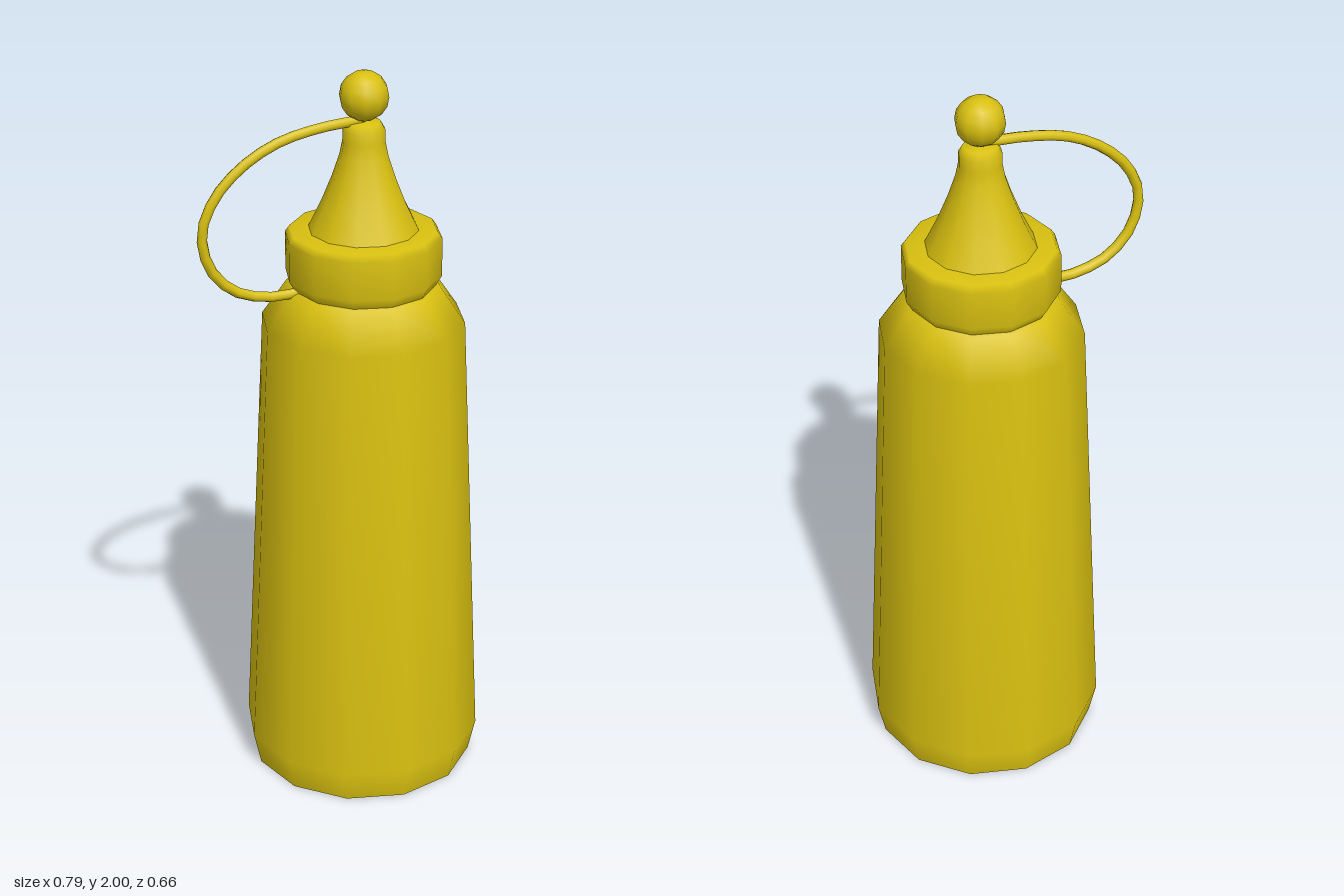
import * as THREE from 'three';

const SIDES = 12;
const AXIS_X = 0.065; // bottle axis is offset to leave room for the strap

export function createModel() {
  const model = new THREE.Group();
  model.name = 'squeezeBottle';
  const yellow = new THREE.MeshStandardMaterial({ color: 0xd8c010 });
  yellow.name = 'mustard yellow';

  const add = (name, geometry, x = AXIS_X, y = 0) => {
    const mesh = new THREE.Mesh(geometry, yellow);
    mesh.name = name;
    mesh.position.set(x, y, 0);
    model.add(mesh);
    return mesh;
  };
  // Turned part from [radius, height] pairs, bottom to top
  const turned = (name, profile) =>
    add(name, new THREE.LatheGeometry(profile.map(([r, y]) => new THREE.Vector2(r, y)), SIDES));

  // Tapered body with shoulder, and its flat base
  turned('body', [[0.308, 0], [0.328, 0.09], [0.272, 1.32], [0.204, 1.42], [0.15, 1.43]]);
  const base = add('base', new THREE.CircleGeometry(0.308, SIDES));
  base.rotation.x = Math.PI / 2;

  // Screw collar, with a flat sharp-edged underside
  turned('collarUnderside', [[0.1, 1.42], [0.19, 1.42]]);
  turned('collar', [[0.19, 1.42], [0.208, 1.45], [0.208, 1.555], [0.196, 1.572], [0.13, 1.575]]);

  // Flared nozzle with rounded lip
  turned('nozzle', [[0.146, 1.574], [0.112, 1.645], [0.084, 1.715], [0.064, 1.775],
    [0.056, 1.815], [0.056, 1.845], [0.044, 1.865], [0, 1.868]]);

  // Ball stopper
  add('stopper', new THREE.SphereGeometry(0.066, 10, 8), AXIS_X, 1.934);

  // Retaining strap looping from stopper to collar
  const path = new THREE.CatmullRomCurve3([
    [0.06, 1.87], [-0.05, 1.863], [-0.17, 1.838], [-0.27, 1.785], [-0.345, 1.71],
    [-0.381, 1.62], [-0.36, 1.52], [-0.295, 1.45], [-0.2, 1.42], [-0.1, 1.422],
  ].map(([x, y]) => new THREE.Vector3(x, y, 0)));
  add('strap', new THREE.TubeGeometry(path, 20, 0.014, 8), 0);

  return model;
}
